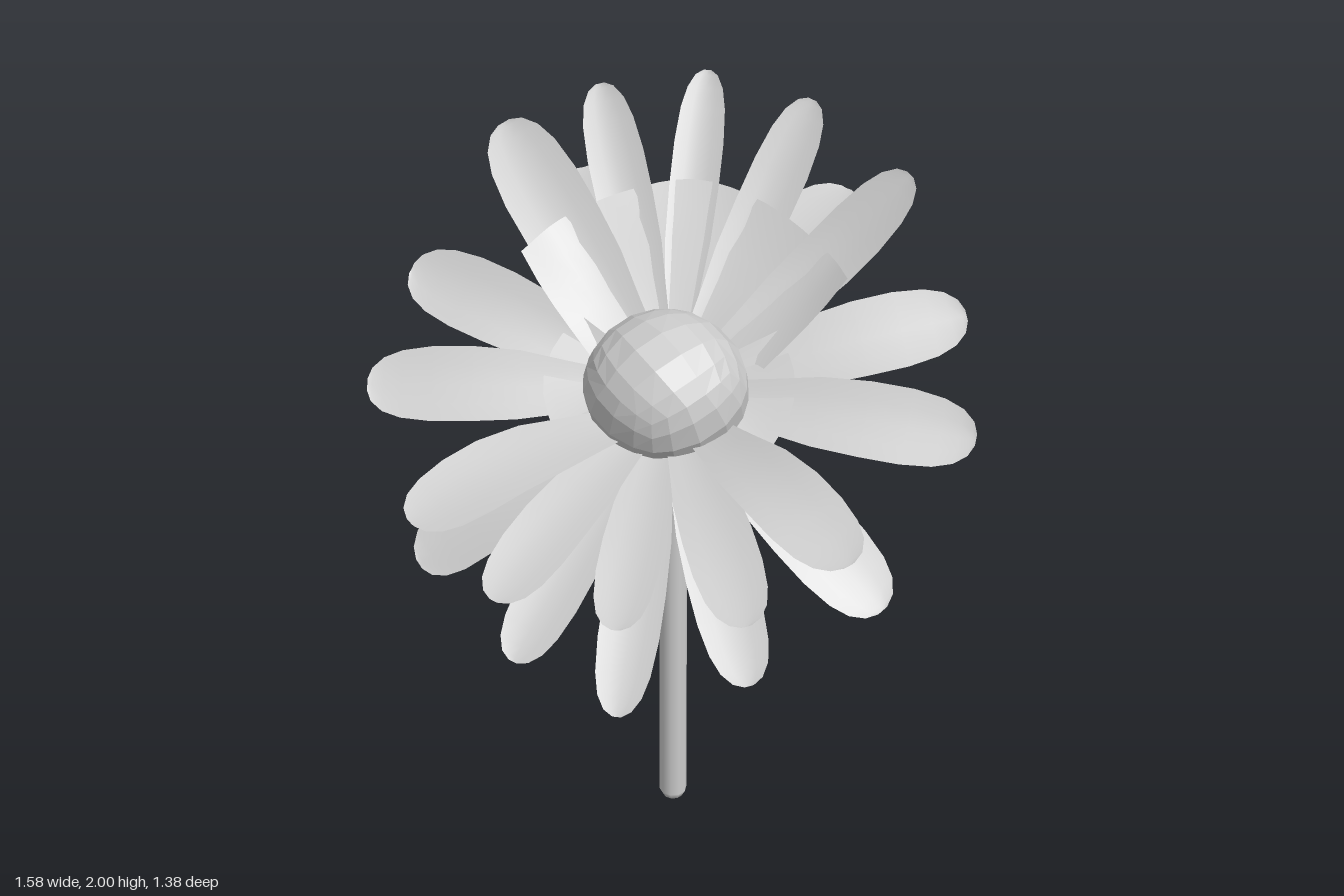
import * as THREE from 'three';

const V = (x, y, z) => new THREE.Vector3(x, y, z);
const AXIS = V(0, 0.84, 0.54).normalize(); // direction the flower head faces
const CORE = V(-0.01, 1.37, -0.04); // where the petals meet

// Surface through equal-length rows of points
function loft(rows) {
  const n = rows[0].length, index = [];
  for (let i = 0; i < rows.length - 1; i++) {
    for (let j = 0; j < n - 1; j++) {
      const a = i * n + j, b = a + n;
      index.push(a, a + 1, b, b, a + 1, b + 1);
    }
  }
  const g = new THREE.BufferGeometry().setFromPoints(rows.flat());
  g.setIndex(index);
  g.computeVertexNormals();
  return g;
}

// Web joining neighbouring petals: rows at growing distance along their centre lines
function web(curves, reach) {
  return loft([0, 0.2, 0.4, 0.6, 0.8, 1].map((k) =>
    new THREE.CatmullRomCurve3(curves.map((c) => c.getPoint(k * reach))).getPoints(24)));
}

// Centre line of a petal from the core to its tip, bowed along the axis
function spine(tip, bow, lift) {
  const root = tip.clone().sub(CORE).projectOnPlane(AXIS).setLength(0.17)
    .add(CORE).addScaledVector(AXIS, lift);
  const mid = root.clone().lerp(tip, 0.5).addScaledVector(AXIS, bow);
  return new THREE.CatmullRomCurve3([root, mid, tip]);
}

// Outline: half width along the petal, as a fraction of the widest part
const OUTLINE = [[0, 0.55], [0.15, 0.7], [0.35, 0.92], [0.55, 1], [0.72, 1], [0.85, 0.9],
  [0.93, 0.72], [0.98, 0.45], [1, 0.15]];

// Petal blade whose upper face leans forward from vertical by the angle lean
function petalGeometry(curve, width, lean) {
  const face = V(0, Math.cos(lean), Math.sin(lean));
  return loft(OUTLINE.map(([t, w]) => {
    const p = curve.getPoint(t);
    const side = face.clone().cross(curve.getTangent(t)).normalize();
    return [-1, -0.5, 0, 0.5, 1].map((s) => p.clone()
      .addScaledVector(side, s * w * width / 2)
      .addScaledVector(face, 0.012 * w * (s * s - 0.5)));
  }));
}

// Dome made from a box blown up to a sphere, with its underside cut flat
function domeGeometry() {
  const g = new THREE.BoxGeometry(1, 1, 1, 5, 5, 5).rotateY(Math.PI / 4);
  const pos = g.attributes.position, p = V(0, 0, 0);
  for (let i = 0; i < pos.count; i++) {
    p.fromBufferAttribute(pos, i).normalize();
    pos.setXYZ(i, p.x * 0.214, Math.max(p.y, -0.4) * 0.2, p.z * 0.203);
  }
  return g;
}

export function createModel() {
  const model = new THREE.Group();
  const solid = new THREE.MeshStandardMaterial({ color: 0xcccccc, flatShading: true });
  const smooth = new THREE.MeshStandardMaterial({ color: 0xcccccc });
  const sheet = new THREE.MeshStandardMaterial({ color: 0xcccccc, side: THREE.DoubleSide });
  const add = (name, geometry, material, parent = model) => {
    const mesh = new THREE.Mesh(geometry, material);
    mesh.name = name;
    parent.add(mesh);
    return mesh;
  };
  const lathe = (profile, sides) =>
    new THREE.LatheGeometry(profile.map(([r, y]) => new THREE.Vector2(r, y)), sides);

  // Stem with a slightly bevelled foot
  add('stem', lathe([[0, 0], [0.028, 0], [0.038, 0.02], [0.038, 1.27]], 10), smooth)
    .position.set(-0.01, 0, -0.12);

  // Faceted flower centre
  const centre = add('flowerCentre', domeGeometry(), solid);
  centre.quaternion.setFromUnitVectors(V(0, 1, 0), AXIS);
  centre.position.set(-0.01, 1.393, -0.01);

  // Cup under the centre, tilted with the head and running out into the petals
  const cup = add('cup', lathe([[0, -0.185], [0.06, -0.18], [0.14, -0.14], [0.18, -0.1],
    [0.2, -0.07], [0.22, -0.045]], 18), sheet);
  cup.quaternion.setFromUnitVectors(V(0, 1, 0), AXIS);
  cup.position.set(-0.01, 1.405, -0.02);

  // Petals: tip x, y, z, width, bow, lean; mirrored when x is not on the centre line
  const layers = {
    lowerPetal: [
      [0.36, 1.66, -0.69, 0.2, 0.06, 0.35], [0.73, 1.55, -0.24, 0.2, 0.02, 0.85],
      [0.79, 1.345, 0.03, 0.2, 0.015, 0.8], [0.6, 0.985, 0.3, 0.21, 0.02, 0.6],
      [0.3, 0.89, 0.55, 0.17, 0, 0.57], [-0.01, 0.85, 0.68, 0.155, 0, 0.57],
    ],
    upperPetal: [
      [0.54, 1.29, 0.57, 0.21, 0.06, 0.35], [0.31, 1.16, 0.68, 0.175, 0.03, 0.45],
      [-0.01, 1.11, 0.68, 0.155, 0.02, 0.5],
    ],
    backPetal: [
      [0.56, 1.88, -0.35, 0.16, -0.03, 0.9], [0.28, 1.98, -0.54, 0.15, -0.02, 0.9],
      [-0.01, 2.0, -0.63, 0.13, 0, 0.9],
    ],
  };
  const spines = { lowerPetal: [], upperPetal: [], backPetal: [] };
  for (const [name, petals] of Object.entries(layers)) {
    const group = new THREE.Group();
    group.name = name + 's';
    model.add(group);
    for (const [x, y, z, width, bow, lean] of petals) {
      for (const s of x > 0 ? [1, -1] : [1]) {
        const tip = V(x * s, y, z);
        const isBroad = name === 'backPetal' && tip.x < -0.5;
        if (isBroad) tip.set(-0.51, 1.91, -0.41); // one back petal is broader and steeper
        const curve = spine(tip, bow, name === 'upperPetal' ? 0.02 : 0);
        add(name, petalGeometry(curve, isBroad ? 0.21 : width, lean), sheet, group);
        spines[name].push(curve);
      }
    }
  }

  // Fan joining the back petals, with an outer edge on each side
  const edge = (s) => new THREE.CatmullRomCurve3(
    [V(0.19 * s, 1.38, -0.08), V(0.39 * s, 1.6, -0.18), V(0.6 * s, 1.92, -0.35)]);
  const back = spines.backPetal.sort((a, b) => a.getPoint(1).x - b.getPoint(1).x);
  add('backPetalWeb', web([edge(-1), ...back, edge(1)], 0.58), sheet);

  // Narrow skirt joining the roots of the side and rear lower petals
  const angle = (c) => Math.atan2(c.getPoint(1).x, -c.getPoint(1).z);
  const skirt = spines.lowerPetal.filter((c) => c.getPoint(1).z < 0.35)
    .sort((a, b) => angle(a) - angle(b));
  add('lowerPetalWeb', web(skirt, 0.25), sheet);

  return model;
}
